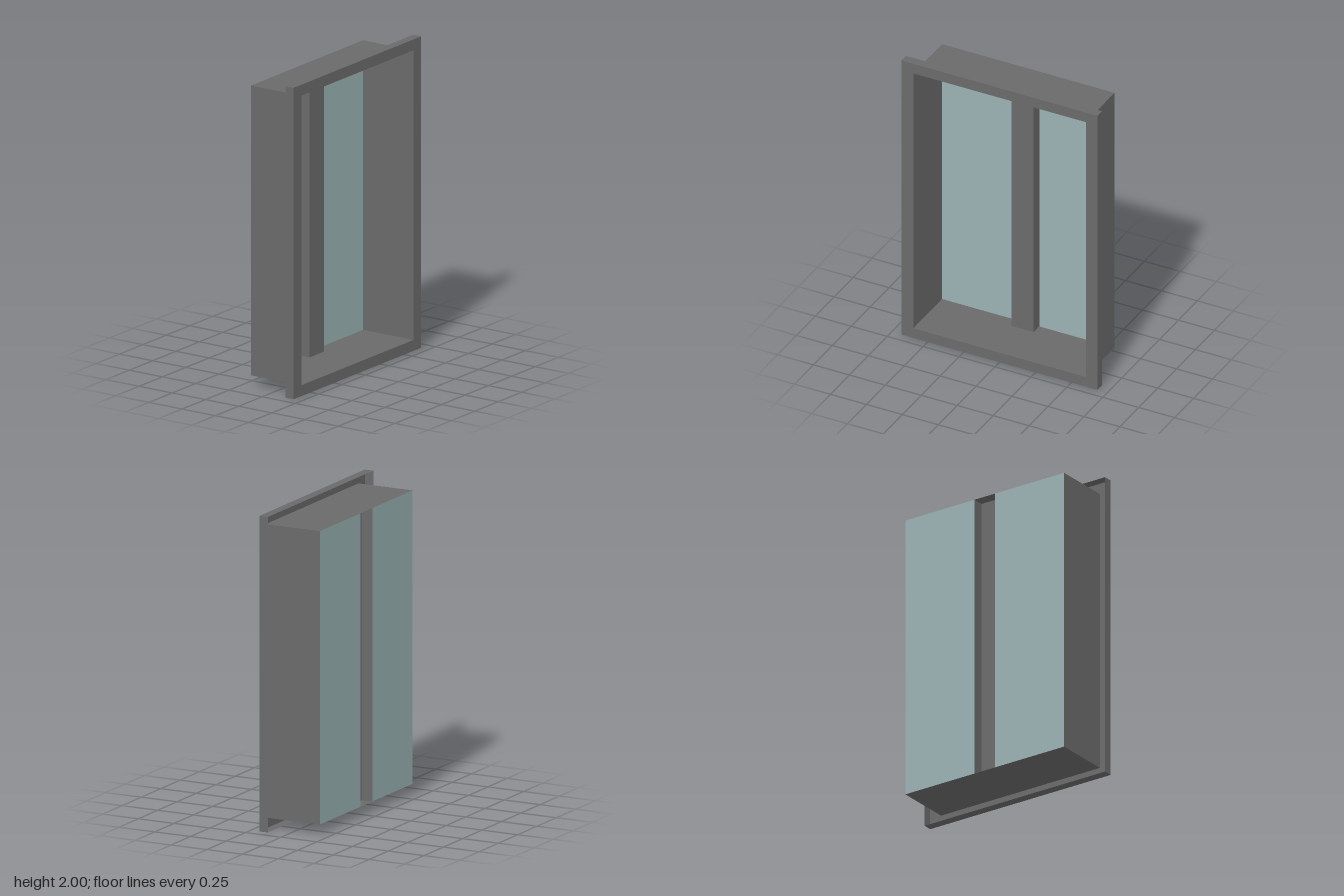
import * as THREE from 'three';

const W = 1.364, H = 2;               // outer frame
const IW = 1.2, IH = 1.86;            // opening and casing
const FRONT = 0.19, LIP = 0.13, BACK = -0.19;
const MULLION_W = 0.154, MULLION_FRONT = -0.115;

const frameMat = new THREE.MeshStandardMaterial({ color: 0x6a6a6a, side: THREE.DoubleSide });
const glassMat = new THREE.MeshStandardMaterial({ color: 0x9ab2b4, side: THREE.DoubleSide });

// Thin sheet, facing +z before it is turned
function sheet(name, w, h, [x, y, z], mat = frameMat, rx = 0, ry = 0) {
  const mesh = new THREE.Mesh(new THREE.PlaneGeometry(w, h), mat);
  mesh.name = name;
  mesh.position.set(x, y, z);
  mesh.rotation.set(rx, ry, 0);
  return mesh;
}

// Four thin walls around a rectangle, open at front and back
function walls(name, w, h, z0, z1) {
  const group = new THREE.Group();
  group.name = name;
  const d = z1 - z0, z = (z0 + z1) / 2;
  for (const s of [-1, 1]) {
    group.add(sheet(s > 0 ? 'leftWall' : 'rightWall', d, h, [s * w / 2, H / 2, z], frameMat, 0, s * Math.PI / 2));
    group.add(sheet(s > 0 ? 'topWall' : 'bottomWall', w, d, [0, H / 2 + s * h / 2, z], frameMat, -s * Math.PI / 2, 0));
  }
  return group;
}

function rectangle(path, w, h) {
  path.moveTo(-w / 2, -h / 2);
  path.lineTo(w / 2, -h / 2);
  path.lineTo(w / 2, h / 2);
  path.lineTo(-w / 2, h / 2);
  path.closePath();
  return path;
}

export function createModel() {
  const model = new THREE.Group();
  model.name = 'window';

  // Front flange with its turned-back outer lip
  const flangeShape = rectangle(new THREE.Shape(), W, H);
  flangeShape.holes.push(rectangle(new THREE.Path(), IW, IH));
  const flange = new THREE.Mesh(new THREE.ShapeGeometry(flangeShape), frameMat);
  flange.name = 'frontFlange';
  flange.position.set(0, H / 2, FRONT);
  model.add(flange, walls('flangeLip', W, H, LIP, FRONT));

  // Deep casing
  model.add(walls('casing', IW, IH, BACK, FRONT));

  // Central mullion: a channel open to the back
  const mullion = new THREE.Group();
  mullion.name = 'mullion';
  mullion.add(sheet('mullionFace', MULLION_W, IH, [0, H / 2, MULLION_FRONT]));
  const depth = MULLION_FRONT - BACK;
  for (const s of [-1, 1]) {
    mullion.add(sheet('mullionSide', depth, IH,
      [s * MULLION_W / 2, H / 2, BACK + depth / 2], frameMat, 0, s * Math.PI / 2));
  }
  model.add(mullion);

  // Glass panes on either side of the mullion
  const paneW = (IW - MULLION_W) / 2;
  for (const s of [-1, 1]) {
    model.add(sheet(s > 0 ? 'leftPane' : 'rightPane', paneW, IH,
      [s * (MULLION_W + paneW) / 2, H / 2, BACK], glassMat));
  }
  return model;
}
